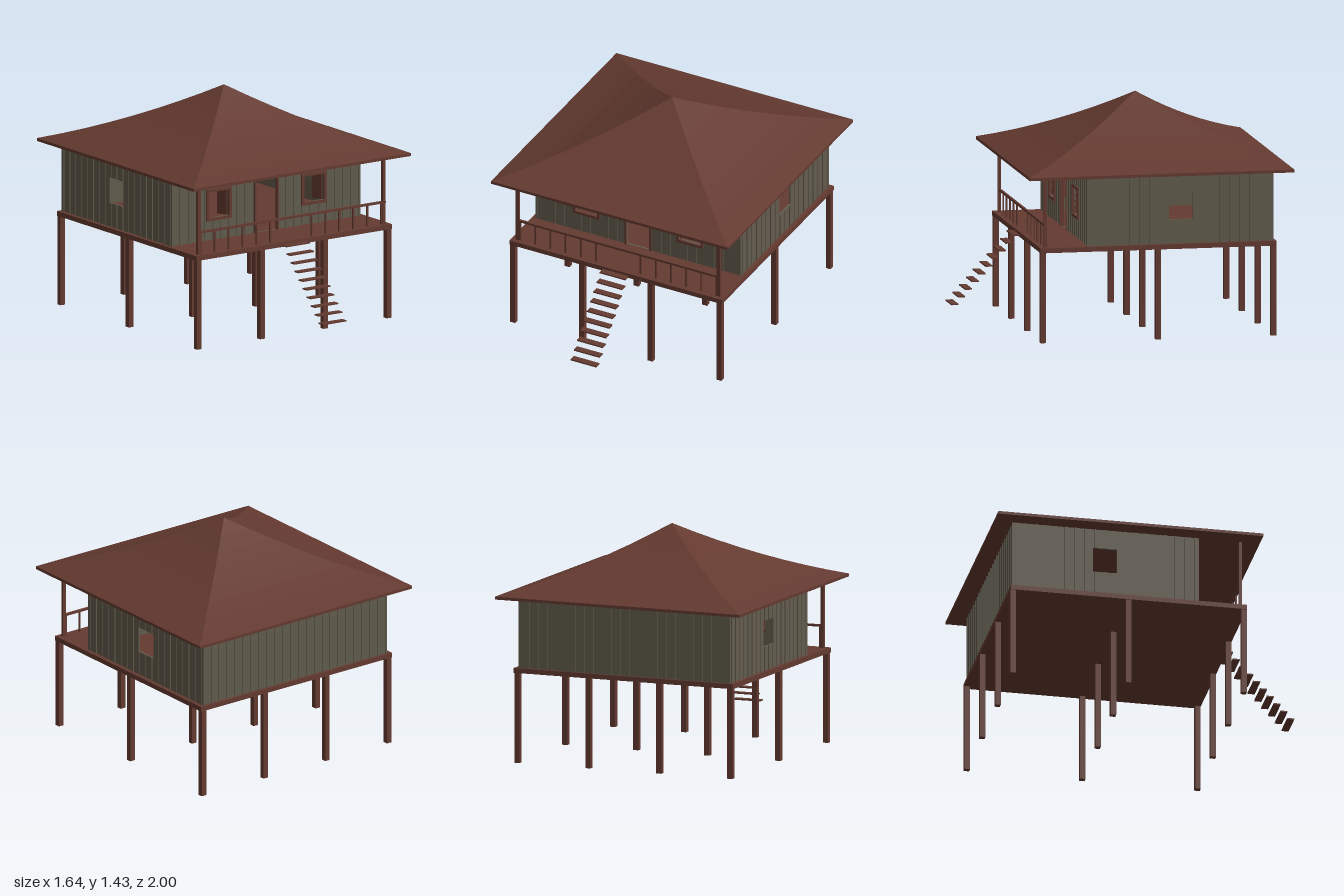
import * as THREE from 'three';

export function createModel() {
  const house = new THREE.Group();
  house.name = 'stiltHouse';
  const wood = new THREE.MeshStandardMaterial({ color: 0x643a30 });
  wood.name = 'red brown wood';
  const plank = new THREE.MeshStandardMaterial({ color: 0x625c4d });
  plank.name = 'grey wall plank';

  const box = (name, w, h, d, x, y, z, mat = wood, parent = house) => {
    const m = new THREE.Mesh(new THREE.BoxGeometry(w, h, d), mat);
    m.name = name;
    m.position.set(x, y, z);
    parent.add(m);
    return m;
  };

  // Deck on a grid of stilts
  box('deck', 1.474, 0.03, 1.478, 0, 0.575, -0.165);
  for (const x of [-0.715, -0.238, 0.238, 0.715])
    for (const z of [0.556, -0.165, -0.888]) box('stilt', 0.034, 0.56, 0.034, x, 0.28, z);

  // Walls: a thin panel with openings, covered by upright battens
  const floor = 0.59, top = 1.026, thick = 0.012;
  const rectangle = (C, [x0, x1, y0, y1]) => {
    const p = new C();
    p.moveTo(x0, y0);
    p.lineTo(x1, y0);
    p.lineTo(x1, y1);
    p.lineTo(x0, y1);
    p.closePath();
    return p;
  };
  const wall = (name, width, openings, x, z, turn) => {
    const g = new THREE.Group();
    g.name = name;
    const h = width / 2;
    const shape = rectangle(THREE.Shape, [-h, h, floor, top]);
    openings.forEach((o) => shape.holes.push(rectangle(THREE.Path, o)));
    const panel = new THREE.Mesh(
      new THREE.ExtrudeGeometry(shape, { depth: thick, bevelEnabled: false }), plank);
    panel.name = name + 'Panel';
    panel.position.z = -thick;
    g.add(panel);
    const count = Math.round(width / 0.062);
    for (let i = 0; i <= count; i++) {
      const bx = -h + 0.006 + (i * (width - 0.012)) / count;
      // Break the batten where it would cross an opening
      const cut = openings.find((o) => bx > o[0] - 0.008 && bx < o[1] + 0.008);
      const spans = cut ? [[floor, cut[2]], [cut[3], top]] : [[floor, top]];
      for (const [a, b] of spans)
        if (b - a > 0.01) box('batten', 0.012, b - a, 0.005, bx, (a + b) / 2, 0.0025, plank, g);
    }
    g.position.set(x, 0, z);
    g.rotation.y = turn;
    house.add(g);
  };
  const door = [-0.08, 0.08, floor + 0.001, 0.934];
  const windows = [-1, 1].map((s) => [s * 0.358 - 0.076, s * 0.358 + 0.076, 0.73, 0.894]);
  const frontZ = 0.272, backZ = -0.886, midZ = (frontZ + backZ) / 2;
  wall('frontWall', 1.42, [door, ...windows], 0, frontZ, 0);
  wall('backWall', 1.42, [], 0, backZ, Math.PI);
  const sideWindow = (s) => {
    const c = -s * (-0.31 - midZ);
    return [[c - 0.075, c + 0.075, 0.74, 0.9]];
  };
  for (const s of [-1, 1])
    wall(s > 0 ? 'leftWall' : 'rightWall', frontZ - backZ - 0.024, sideWindow(s), s * 0.71, midZ, s * Math.PI / 2);

  // Door and window frames, with shutters swung inwards
  const frame = (name, [x0, x1, y0, y1], t, sill) => {
    const g = new THREE.Group();
    g.name = name;
    const z = frontZ, cx = (x0 + x1) / 2, bottom = sill ? y0 - t : y0;
    for (const x of [x0 - t / 2, x1 + t / 2])
      box('jamb', t, y1 - bottom, 0.024, x, (y1 + bottom) / 2, z, wood, g);
    box('lintel', x1 - x0 + 2 * t, t, 0.024, cx, y1 + t / 2, z, wood, g);
    if (sill) box('sill', x1 - x0, t, 0.024, cx, y0 - t / 2, z, wood, g);
    house.add(g);
  };
  frame('doorFrame', door, 0.011, false);
  for (const w of windows) {
    frame('windowFrame', w, 0.017, true);
    for (const s of [-1, 1]) {
      const hinge = s < 0 ? w[0] : w[1];
      const shutter = box('shutter', 0.008, w[3] - w[2], 0.07,
        hinge - s * 0.014, (w[2] + w[3]) / 2, frontZ - 0.045);
      shutter.rotation.y = s * 0.36;
    }
  }

  // Veranda posts and railing
  for (const s of [-1, 1]) box('verandaPost', 0.022, top - floor, 0.018, s * 0.697, (top + floor) / 2, 0.538);
  box('handrail', 1.42, 0.014, 0.014, 0, 0.728, 0.538);
  for (const s of [-1, 1])
    for (let i = 0; i < 6; i++)
      box('baluster', 0.01, 0.135, 0.01, s * (0.155 + i * 0.105), floor + 0.0675, 0.538);

  // Open stair treads
  for (let i = 0; i < 10; i++) box('stairTread', 0.178, 0.008, 0.044, 0, 0.152 + i * 0.0464, 0.978 - i * 0.0426);

  // Four-sided roof with a gentle inward sweep and a flat soffit
  const half = 0.82, eave = 1.043, rise = 0.387, steps = 8;
  const profile = [[0, 1.025], [half, 1.025]];
  for (let i = 0; i <= steps; i++) {
    const t = i / steps;
    profile.push([half * (1 - t), eave + rise * t - 0.13 * t * (1 - t)]);
  }
  const points = profile.map(([r, y]) => new THREE.Vector2(r * Math.SQRT2, y));
  const roofShape = new THREE.LatheGeometry(points, 4, Math.PI / 4).toNonIndexed();
  roofShape.scale(1, 1, 0.829 / half);
  roofShape.computeVertexNormals();
  const roof = new THREE.Mesh(roofShape, wood);
  roof.name = 'roof';
  roof.position.z = -0.17;
  house.add(roof);

  return house;
}
